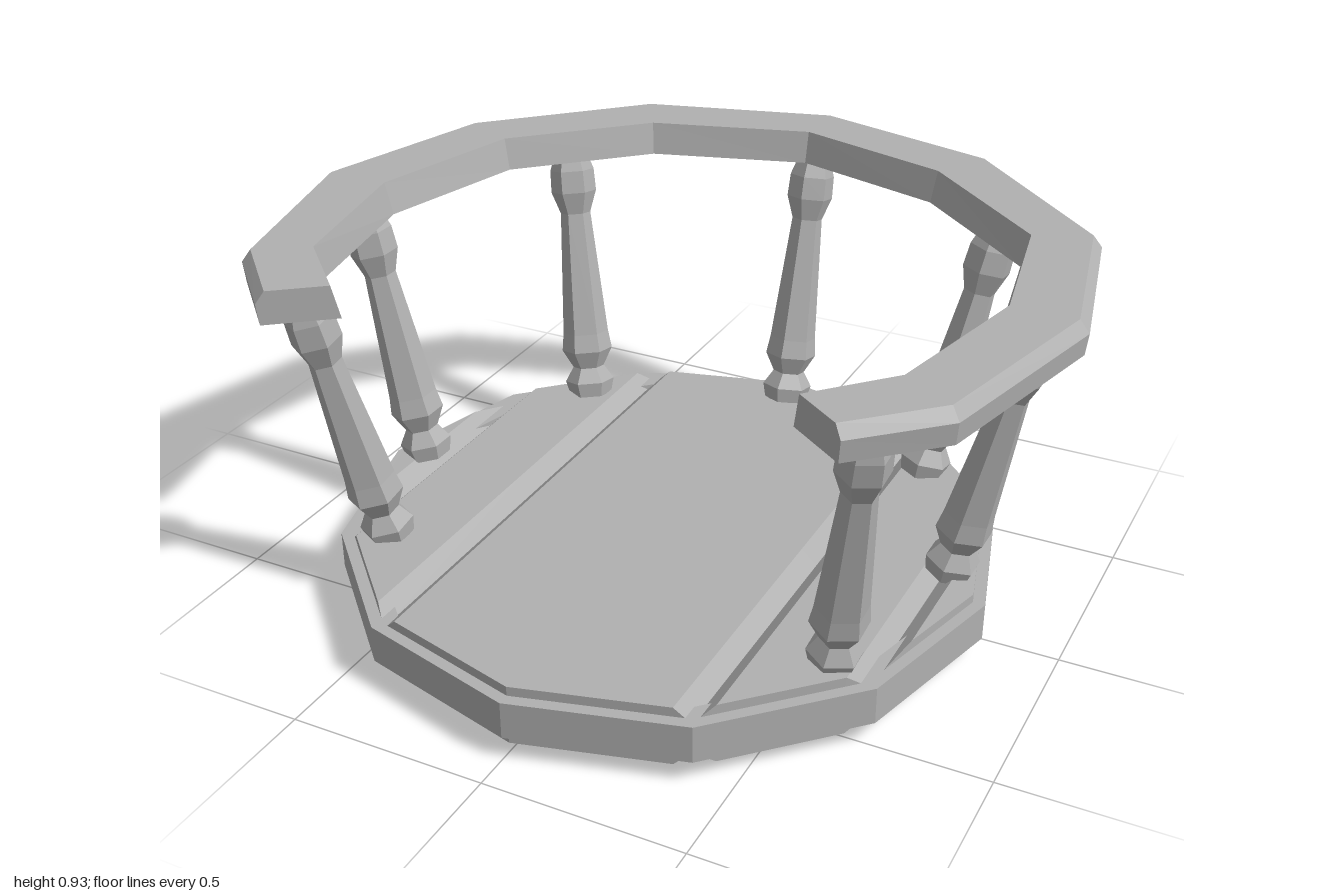
import * as THREE from 'three';

const CZ = 0.08; // centre of the round floor along z

// Skin between equal-length closed cross-sections, capped at both ends.
function loft(sections) {
  const pos = [];
  const tri = (a, b, c) => pos.push(...a, ...b, ...c);
  const n = sections[0].length;
  for (let i = 0; i < sections.length - 1; i++) {
    for (let j = 0; j < n; j++) {
      const k = (j + 1) % n;
      const a = sections[i][j], b = sections[i][k];
      const c = sections[i + 1][k], d = sections[i + 1][j];
      tri(a, b, c);
      tri(a, c, d);
    }
  }
  const s = sections[0], e = sections[sections.length - 1];
  for (let j = 1; j < n - 1; j++) {
    tri(s[0], s[j + 1], s[j]);
    tri(e[0], e[j], e[j + 1]);
  }
  const g = new THREE.BufferGeometry();
  g.setAttribute('position', new THREE.Float32BufferAttribute(pos, 3));
  g.computeVertexNormals();
  return g;
}

// Half depth of a twelve-sided disc at a given x.
function discDepth(x, r) {
  const ax = Math.abs(x);
  for (let i = 0; i < 3; i++) {
    const a = (i * Math.PI) / 6, b = a + Math.PI / 6;
    const x0 = r * Math.sin(a), x1 = r * Math.sin(b);
    if (ax <= x1 + 1e-6) {
      return THREE.MathUtils.lerp(r * Math.cos(a), r * Math.cos(b), (ax - x0) / (x1 - x0));
    }
  }
  return 0;
}

export function createModel() {
  const model = new THREE.Group();
  const wood = new THREE.MeshStandardMaterial({ color: 0xb0b0b0, flatShading: true });
  wood.name = 'plain grey';
  const add = (name, geometry) => {
    const mesh = new THREE.Mesh(geometry, wood);
    mesh.name = name;
    model.add(mesh);
    return mesh;
  };

  // Plank floor: bevelled grooves at the seams, one plank sagging underneath
  const half = [[0, 0.077], [0.36, 0.077], [0.4, 0.04], [0.44, 0.077],
    [0.655, 0.077], [0.693, 0.04], [0.735, 0.077], [0.8, 0.075]];
  const stations = [...half.slice(1).reverse().map(([x, h]) => [-x, h]), ...half];
  add('plankFloor', loft(stations.map(([x, h]) => {
    const d = discDepth(x, 0.8);
    const top = 0.102 + h, bottom = 0.102 - h;
    const sag = x === -0.44 ? 0 : bottom;
    return [
      [x, top, CZ - d], [x, top, CZ], [x, top, CZ + d],
      [x, bottom, CZ + d], [x, sag, CZ], [x, bottom, CZ - d],
    ];
  })));

  // Hoop around the floor
  const hoop = [[0.76, 0.06], [0.83, 0.06], [0.83, 0.155], [0.76, 0.155], [0.76, 0.06]]
    .map(([r, y]) => new THREE.Vector2(r, y));
  add('floorRim', new THREE.LatheGeometry(hoop, 12)).position.z = CZ;

  // Handrail, open at the front: [outer x, z, inner x, z] at every corner
  const corners = [
    [0.7, 0.74, 0.56, 0.64], [0.88, 0.57, 0.715, 0.47], [1, 0.07, 0.8, 0.07],
    [0.9, -0.4, 0.73, -0.32], [0.5, -0.785, 0.4, -0.61], [0, -0.92, 0, -0.73],
    [-0.5, -0.785, -0.4, -0.61], [-0.865, -0.42, -0.69, -0.33], [-1, 0.07, -0.79, 0.07],
    [-0.865, 0.57, -0.71, 0.47], [-0.69, 0.745, -0.545, 0.63],
  ];
  add('handrail', loft(corners.map(([ox, oz, ix, iz]) => {
    const at = (t, y) => [THREE.MathUtils.lerp(ix, ox, t), y, THREE.MathUtils.lerp(iz, oz, t)];
    return [at(0.1, 0.93), at(0.88, 0.93), at(1, 0.9), at(0.97, 0.848), at(0, 0.848)];
  })));

  // Turned balusters leaning outwards: [foot x, z, head x, z]
  const profile = [[0, 0], [0.058, 0], [0.068, 0.04], [0.043, 0.08], [0.07, 0.13], [0.063, 0.18],
    [0.041, 0.52], [0.062, 0.58], [0.06, 0.64], [0.04, 0.7], [0, 0.7]]
    .map(([r, y]) => new THREE.Vector2(r, y));
  const turned = new THREE.LatheGeometry(profile, 6);
  const up = new THREE.Vector3(0, 1, 0);
  const posts = [
    [0, -0.64, 0, -0.8], [0.49, -0.42, 0.61, -0.55], [-0.51, -0.42, -0.63, -0.55],
    [0.71, 0, 0.87, 0], [-0.73, 0.08, -0.88, 0.08],
    [0.6, 0.46, 0.7, 0.58], [-0.59, 0.46, -0.7, 0.58],
  ];
  for (const [x0, z0, x1, z1] of posts) {
    const post = add('baluster', turned);
    const lean = new THREE.Vector3(x1 - x0, 0.69, z1 - z0);
    post.position.set(x0, 0.17, z0);
    post.quaternion.setFromUnitVectors(up, lean.normalize());
  }

  return model;
}
